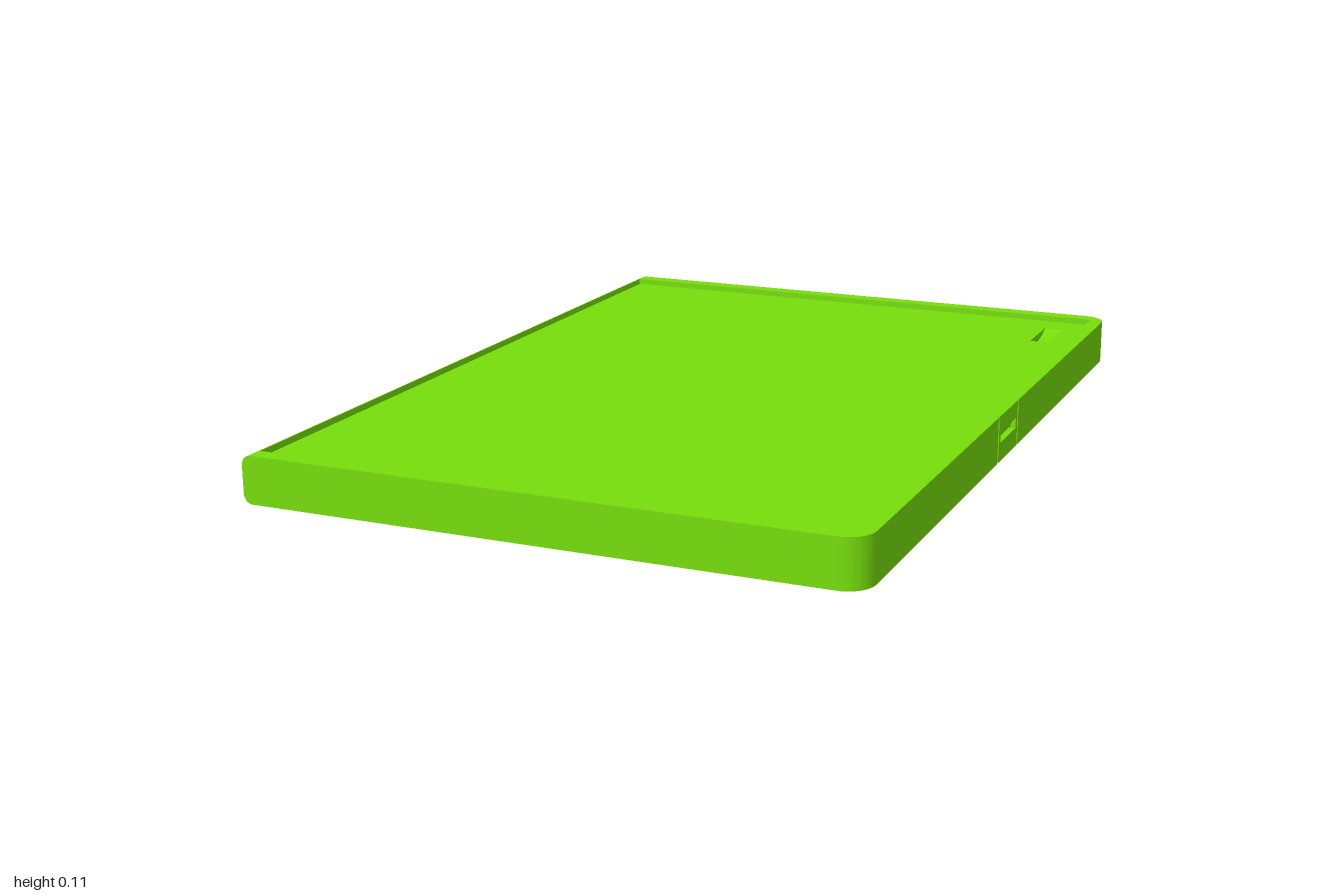
import * as THREE from 'three';
import { mergeGeometries, toCreasedNormals } from 'three/addons/utils/BufferGeometryUtils.js';

const W = 0.71, L = 1, H = 0.11, R = 0.06;
const material = new THREE.MeshStandardMaterial({ color: 0x76dd0c });

// Outline of the case seen from above; shape y is -z.
function outline(port) {
  const s = new THREE.Shape();
  s.moveTo(-W, -L);
  s.lineTo(W - R, -L);
  s.absarc(W - R, -L + R, R, -Math.PI / 2, 0, false);
  const notch = (a, b, d) => {
    s.lineTo(W, a);
    s.lineTo(W - d, a);
    s.lineTo(W - d, b);
    s.lineTo(W, b);
  };
  notch(-0.086, -0.079, 0.004); // groove beside the port
  if (port) notch(-0.066, 0.066, 0.06);
  notch(0.079, 0.086, 0.004);
  s.lineTo(W, L - R);
  s.absarc(W - R, L - R, R, 0, Math.PI / 2, false);
  s.lineTo(-W, L);
  s.closePath();
  return s;
}

function rectHole(x0, x1, y0, y1) {
  const p = new THREE.Path();
  p.moveTo(x0, y0);
  p.lineTo(x0, y1);
  p.lineTo(x1, y1);
  p.lineTo(x1, y0);
  p.closePath();
  return p;
}

// One horizontal slice, with the long left edge rounded over in profile.
function layer(y0, y1, port, hole) {
  const shape = outline(port);
  if (hole) shape.holes.push(hole);
  const g = new THREE.ExtrudeGeometry(shape, {
    depth: y1 - y0, steps: Math.round((y1 - y0) / 0.005), bevelEnabled: false, curveSegments: 10,
  });
  g.rotateX(-Math.PI / 2).translate(0, y0, 0);
  const p = g.attributes.position;
  for (let i = 0; i < p.count; i++) {
    if (p.getX(i) > -W + 0.001) continue;
    const t = Math.min(p.getY(i), H - p.getY(i), 0.025);
    const u = Math.min(1, Math.max(0, 1 - t / 0.025));
    p.setX(i, -W + 0.018 * (1 - Math.sqrt(1 - u * u)));
  }
  return g;
}

function add(group, name, geometry) {
  const mesh = new THREE.Mesh(geometry, material);
  mesh.name = name;
  group.add(mesh);
  return mesh;
}

export function createModel() {
  const group = new THREE.Group();
  group.name = 'slimCase';

  // Body: floor, port slice, slice with the thumb slot, raised rim
  const body = mergeGeometries([
    layer(0, 0.045, false),
    layer(0.045, 0.07, true),
    layer(0.07, 0.095, false, rectHole(0.57, 0.62, 0.72, 0.88)),
    layer(0.095, H, false, rectHole(-0.69, 0.675, -0.96, 0.96)),
  ]);
  body.computeVertexNormals();
  add(group, 'caseBody', toCreasedNormals(body, 0.65));

  // Curved ramp in the thumb slot, steep at the back and flat at the front
  const ramp = new THREE.Shape();
  ramp.moveTo(0.72, 0.07);
  ramp.lineTo(0.88, 0.07);
  ramp.lineTo(0.88, 0.094);
  ramp.quadraticCurveTo(0.82, 0.071, 0.72, 0.07);
  const rampGeometry = new THREE.ExtrudeGeometry(ramp, { depth: 0.05, bevelEnabled: false, curveSegments: 10 });
  rampGeometry.rotateY(Math.PI / 2).translate(0.57, 0, 0);
  add(group, 'thumbSlotRamp', toCreasedNormals(rampGeometry, 0.5));

  // Tongue inside the side port
  add(group, 'portTongue', new THREE.BoxGeometry(0.05, 0.013, 0.118)).position.set(0.675, 0.0575, 0);

  return group;
}
